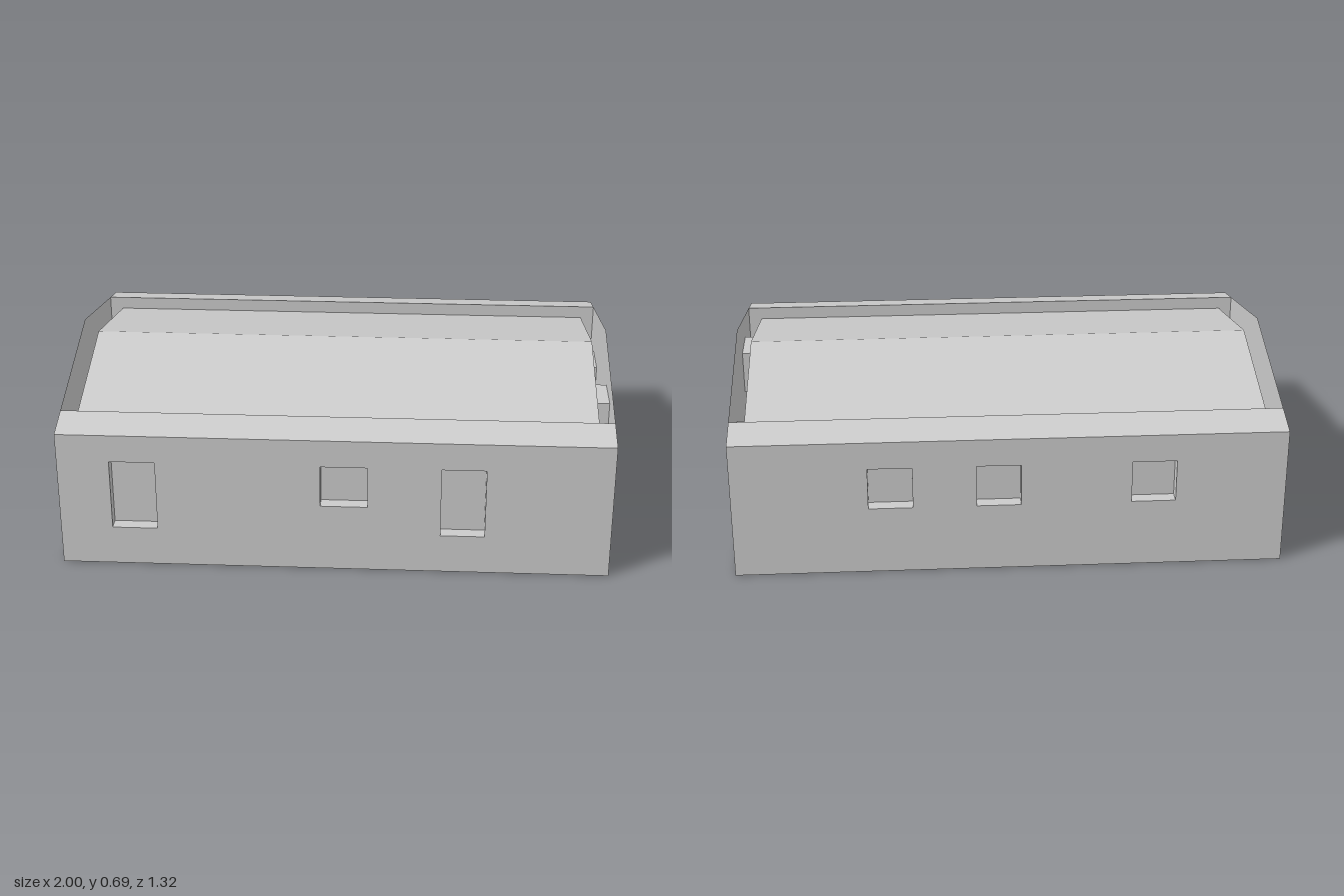
import * as THREE from 'three';

const HALF_X = 1, HALF_Z = 0.66, EAVE = 0.525, RIDGE = 0.685;
const IN_X = 0.95, IN_Z = 0.53, DROP = 0.048, DEPTH = 0.049;
const slopeY = z => RIDGE - (RIDGE - EAVE) * Math.abs(z) / HALF_Z;

const solid = new THREE.MeshStandardMaterial({ color: 0xcccccc, flatShading: true });
const sheet = new THREE.MeshStandardMaterial({ color: 0xcccccc, flatShading: true, side: THREE.DoubleSide });

function add(parent, name, geometry, material = sheet) {
  const mesh = new THREE.Mesh(geometry, material);
  mesh.name = name;
  parent.add(mesh);
  return mesh;
}

const outline = pts => new THREE.Shape(pts.map(p => new THREE.Vector2(...p)));

// Flat wall with openings [x0, x1, y0, y1]; each has a shallow recess behind it
function facade(name, pts, openings) {
  const group = new THREE.Group();
  group.name = name;
  const shape = outline(pts);
  for (const [x0, x1, y0, y1] of openings) {
    shape.holes.push(new THREE.Path([[x0, y0], [x0, y1], [x1, y1], [x1, y0]].map(p => new THREE.Vector2(...p))));
    const box = new THREE.BoxGeometry(x1 - x0, y1 - y0, DEPTH);
    const index = Array.from(box.index.array);
    index.splice(24, 6); // leave the outer face open
    box.setIndex(index);
    box.clearGroups();
    add(group, 'windowRecess', box).position.set((x0 + x1) / 2, (y0 + y1) / 2, -DEPTH / 2);
  }
  add(group, 'wallFace', new THREE.ShapeGeometry(shape));
  return group;
}

export function createModel() {
  const house = new THREE.Group();
  house.name = 'house';

  // Long walls, with a sloped cap and an inner face
  const longPts = [[-HALF_X, 0], [HALF_X, 0], [HALF_X, EAVE], [-HALF_X, EAVE]];
  const longWalls = [
    ['frontWall', 0, [[-0.81, -0.645, 0.15, 0.42], [-0.05, 0.12, 0.26, 0.42], [0.385, 0.545, 0.15, 0.42]]],
    ['backWall', Math.PI, [[-0.51, -0.35, 0.26, 0.42], [-0.12, 0.04, 0.26, 0.42], [0.44, 0.6, 0.26, 0.42]]],
  ];
  const capTop = slopeY(IN_Z), capRun = HALF_Z - IN_Z, capRise = capTop - EAVE;
  for (const [name, turn, openings] of longWalls) {
    const side = new THREE.Group();
    side.name = name;
    side.rotation.y = turn;
    const face = facade(name + 'Face', longPts, openings);
    face.position.z = HALF_Z;
    side.add(face);
    const cap = add(side, 'wallCap', new THREE.PlaneGeometry(2 * HALF_X, Math.hypot(capRun, capRise)));
    cap.position.set(0, (EAVE + capTop) / 2, (IN_Z + HALF_Z) / 2);
    cap.rotation.x = -Math.atan2(capRun, capRise);
    const inner = add(side, 'innerFace', new THREE.PlaneGeometry(2 * HALF_X, capTop));
    inner.position.set(0, capTop / 2, IN_Z);
    inner.rotation.y = Math.PI;
    house.add(side);
  }

  // Gable walls, thin parapets standing above the roof
  const gablePts = [[-HALF_Z, 0], [HALF_Z, 0], [HALF_Z, EAVE], [0, RIDGE], [-HALF_Z, EAVE]];
  const rightGable = facade('rightGable', gablePts,
    [[-0.305, -0.145, 0.36, 0.525], [0.24, 0.4, 0.148, 0.417]]);
  rightGable.rotation.y = Math.PI / 2;
  rightGable.position.x = HALF_X;
  const leftGable = facade('leftGable', gablePts,
    [[-0.4, -0.24, 0.15, 0.415], [-0.09, 0.07, 0.07, 0.42]]);
  leftGable.rotation.y = -Math.PI / 2;
  leftGable.position.x = -HALF_X;
  house.add(rightGable, leftGable);

  // Sunken roof with the inner walls below it
  const w = IN_Z - 0.001, eave = slopeY(w) - DROP;
  const core = add(house, 'roofAndInnerWalls', new THREE.ExtrudeGeometry(
    outline([[-w, 0.002], [w, 0.002], [w, eave], [0, RIDGE - DROP], [-w, eave]]),
    { depth: 2 * IN_X, bevelEnabled: false }), solid);
  core.rotation.y = Math.PI / 2;
  core.position.x = -IN_X;

  // Floor slab
  add(house, 'floor', new THREE.BoxGeometry(1.998, 0.004, 2 * HALF_Z - 0.002), solid).position.y = 0.002;

  return house;
}
